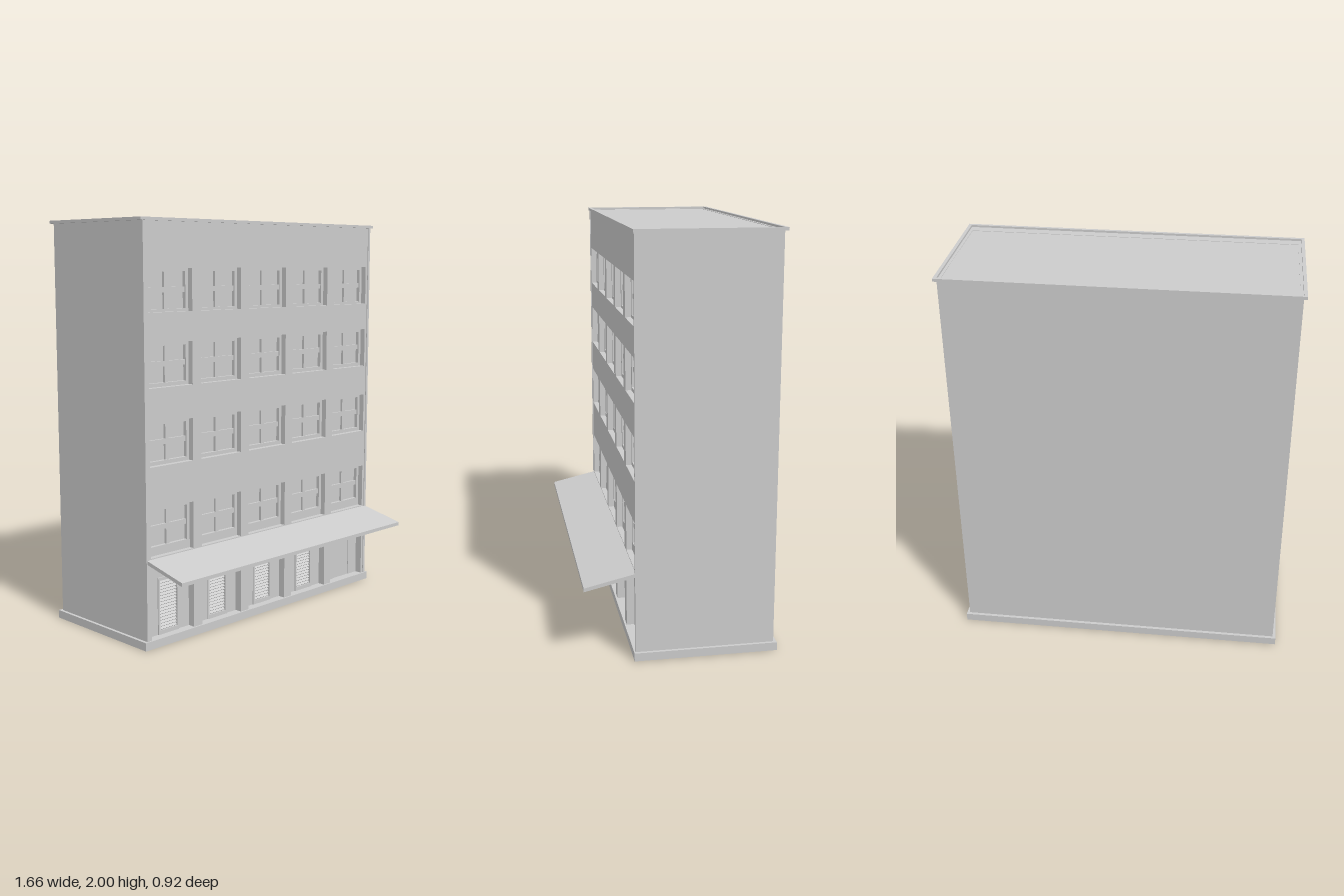
import * as THREE from 'three';

const material = new THREE.MeshStandardMaterial({ color: 0xcccccc, flatShading: true });

function rect(target, x0, y0, x1, y1) {
  target.moveTo(x0, y0);
  target.lineTo(x1, y0);
  target.lineTo(x1, y1);
  target.lineTo(x0, y1);
  target.closePath();
  return target;
}

function add(parent, name, geometry) {
  const mesh = new THREE.Mesh(geometry, material);
  mesh.name = name;
  parent.add(mesh);
  return mesh;
}

// Box given by its lowest and highest corners
function box(parent, name, [x0, y0, z0], [x1, y1, z1]) {
  const mesh = add(parent, name, new THREE.BoxGeometry(x1 - x0, y1 - y0, z1 - z0));
  mesh.position.set((x0 + x1) / 2, (y0 + y1) / 2, (z0 + z1) / 2);
  return mesh;
}

// Flat slab in the xy plane with rectangular holes, from z0 to z1
function slab(parent, name, outer, holes, z0, z1) {
  const shape = rect(new THREE.Shape(), ...outer);
  for (const hole of holes) shape.holes.push(rect(new THREE.Path(), ...hole));
  const geometry = new THREE.ExtrudeGeometry(shape, { depth: z1 - z0, bevelEnabled: false });
  geometry.translate(0, 0, z0);
  return add(parent, name, geometry);
}

// Horizontal ring; outer and inner are [x0, z0, x1, z1]
function ring(parent, name, outer, inner, y0, y1) {
  const flip = ([x0, z0, x1, z1]) => [x0, -z1, x1, -z0];
  const mesh = slab(parent, name, flip(outer), [flip(inner)], y0, y1);
  mesh.geometry.rotateX(-Math.PI / 2);
  return mesh;
}

const columns = [-0.65, -0.325, 0, 0.325, 0.65];
const rows = [[0.435, 0.665], [0.865, 1.07], [1.23, 1.435], [1.575, 1.775]];
const halfBay = 0.135;
const bayTop = 0.4;

function createWindow() {
  const group = new THREE.Group();
  group.name = 'window';
  // Origin at the top centre of the opening
  slab(group, 'windowFrame', [-0.135, -0.23, 0.135, 0], [[-0.117, -0.187, 0.117, -0.016]], 0.165, 0.19);
  box(group, 'transom', [-0.118, -0.112, 0.17], [0.118, -0.087, 0.184]);
  box(group, 'mullion', [-0.01, -0.188, 0.17], [0.01, -0.015, 0.184]);
  box(group, 'pane', [-0.118, -0.188, 0.167], [0.118, -0.015, 0.172]);
  return group;
}

function createBay(louvred) {
  const group = new THREE.Group();
  group.name = louvred ? 'louvredBay' : 'entranceBay';
  const door = [-0.065, 0.035, 0.065, 0.32];
  slab(group, 'bayPanel', [-halfBay, 0.03, halfBay, bayTop], [door], 0.165, 0.18);
  if (louvred) {
    slab(group, 'doorFrame', door, [[-0.055, 0.06, 0.055, 0.305]], 0.161, 0.186);
    for (let i = 0; i < 16; i++) {
      const y = 0.068 + i * 0.0152;
      const slat = box(group, 'slat', [-0.056, y - 0.002, 0.164], [0.056, y + 0.002, 0.182]);
      slat.rotation.x = 0.75;
    }
  } else {
    box(group, 'door', [door[0], door[1], 0.162], [door[2], door[3], 0.176]);
    box(group, 'doorLamp', [-0.065, 0.331, 0.175], [0.065, 0.349, 0.195]);
  }
  return group;
}

export function createModel() {
  const model = new THREE.Group();
  model.name = 'building';

  // Base, open underneath
  ring(model, 'base', [-0.83, -0.46, 0.83, 0.228], [-0.8, -0.43, 0.8, 0.165], 0, 0.04);

  // Side and back walls
  for (const s of [-1, 1]) {
    const wall = box(model, 'sideWall', [0.8, 0.03, -0.445], [0.815, 1.99, 0.222]);
    wall.position.x *= s;
  }
  box(model, 'backWall', [-0.8, 0.03, -0.445], [0.8, 1.99, -0.43]);

  // Front wall pierced by windows and ground floor bays
  const holes = [];
  for (const x of columns) {
    holes.push([x - halfBay, 0.04, x + halfBay, bayTop]);
    for (const [y0, y1] of rows) holes.push([x - halfBay, y0, x + halfBay, y1]);
  }
  slab(model, 'frontWall', [-0.8, 0.03, 0.8, 1.99], holes, 0.165, 0.218);

  // Windows and ground floor bays
  columns.forEach((x, i) => {
    for (const [y0, y1] of rows) {
      const win = createWindow();
      // Upper windows have a shorter bottom rail
      if (y1 - y0 < 0.22) {
        const frame = win.getObjectByName('windowFrame');
        win.remove(frame);
        slab(win, 'windowFrame', [-0.135, y0 - y1, 0.135, 0], [[-0.117, -0.187, 0.117, -0.016]], 0.165, 0.19);
      }
      win.position.set(x, y1, 0);
      model.add(win);
    }
    const bay = createBay(i < 4);
    bay.position.x = x;
    model.add(bay);
  });

  // Sloping canopy across the front
  const section = new THREE.Shape();
  section.moveTo(-0.215, 0.431);
  section.lineTo(-0.46, 0.375);
  section.lineTo(-0.46, 0.357);
  section.lineTo(-0.215, 0.413);
  section.closePath();
  const canopy = new THREE.ExtrudeGeometry(section, { depth: 1.62, bevelEnabled: false });
  canopy.rotateY(Math.PI / 2);
  canopy.translate(-0.81, 0, 0);
  add(model, 'canopy', canopy);

  // Roof with a raised rim
  box(model, 'roof', [-0.814, 1.97, -0.444], [0.814, 1.988, 0.216]);
  ring(model, 'roofRim', [-0.83, -0.46, 0.83, 0.228], [-0.814, -0.444, 0.814, 0.212], 1.986, 2);

  return model;
}
